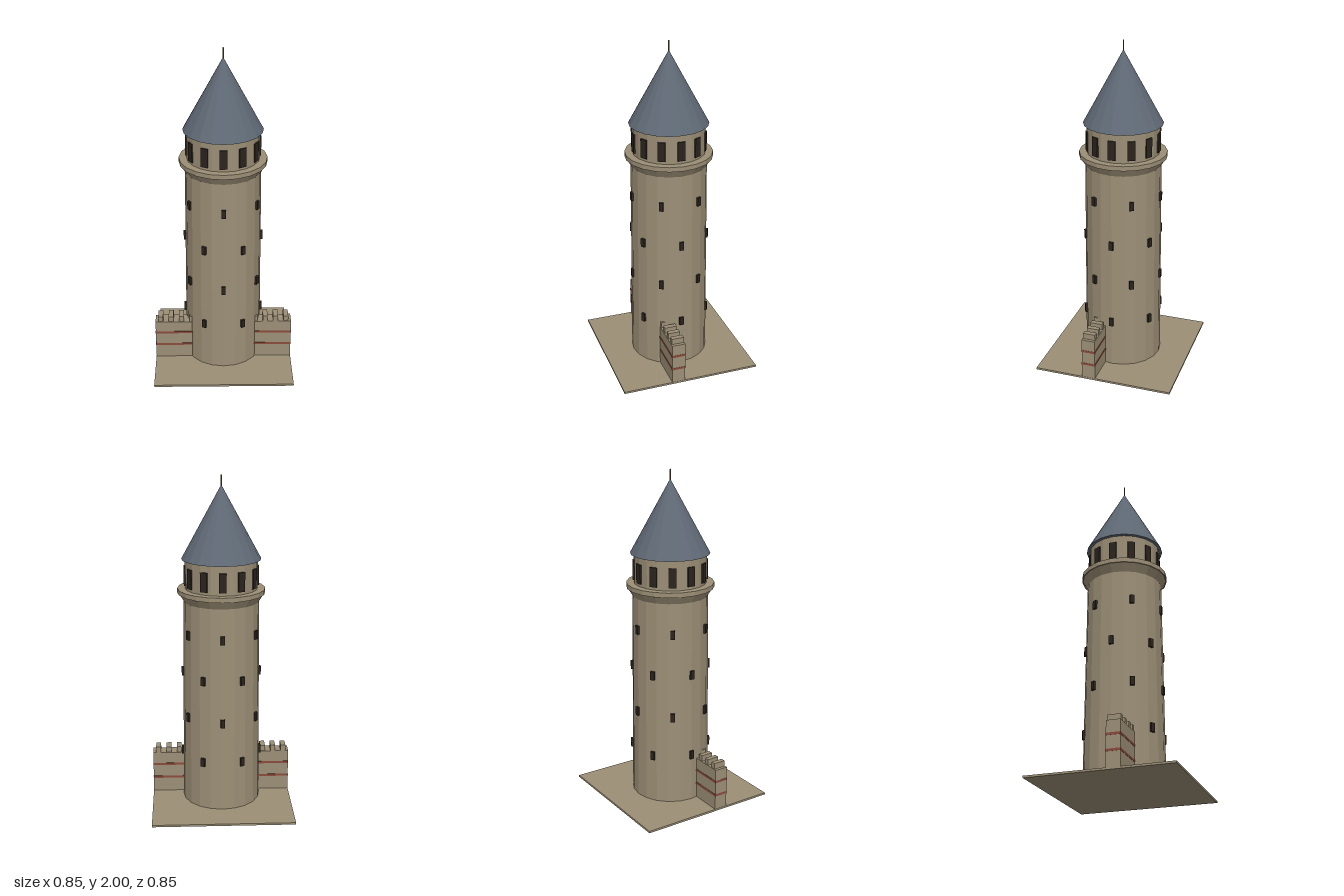
import * as THREE from 'three';

const SIDES = 20;

function material(color) {
  return new THREE.MeshStandardMaterial({ color, flatShading: true });
}

export function createModel() {
  const tower = new THREE.Group();
  tower.name = 'tower';

  const stone = material(0x9c8f76);
  const slate = material(0x5f6975);
  const dark = material(0x2a241e);
  const brick = material(0x8a4a3a);
  const brass = material(0x6e5c34);

  function add(name, geometry, mat, x = 0, y = 0, z = 0, parent = tower) {
    const mesh = new THREE.Mesh(geometry, mat);
    mesh.name = name;
    mesh.position.set(x, y, z);
    parent.add(mesh);
    return mesh;
  }

  // Round section standing between two heights
  function drum(name, rBottom, rTop, y0, y1, mat, sides = SIDES) {
    const geometry = new THREE.CylinderGeometry(rTop, rBottom, y1 - y0, sides);
    return add(name, geometry, mat, 0, (y0 + y1) / 2, 0);
  }

  // Ring of dark boxes facing outwards
  function windowRing(name, count, offset, radius, y, w, h, d) {
    const ring = new THREE.Group();
    ring.name = name;
    const geometry = new THREE.BoxGeometry(w, h, d);
    for (let i = 0; i < count; i++) {
      const a = offset + (i / count) * Math.PI * 2;
      const pane = add('window', geometry, dark, Math.sin(a) * radius, y, Math.cos(a) * radius, ring);
      pane.rotation.y = a;
    }
    tower.add(ring);
  }

  // Ground slab and main shaft
  add('groundSlab', new THREE.BoxGeometry(0.85, 0.012, 0.85), stone, 0, 0.006, 0);
  drum('shaft', 0.235, 0.225, 0.012, 1.27, stone);

  // Staggered rows of small windows, following the taper
  [0.31, 0.567, 0.823, 1.08].forEach((y, row) => {
    const radius = 0.235 - 0.01 * (y / 1.27);
    windowRing('windowRow', 6, row % 2 ? 0 : Math.PI / 6, radius, y, 0.025, 0.052, 0.022);
  });

  // Flared gallery, lantern storey, roof and finial
  drum('galleryFlare', 0.225, 0.254, 1.265, 1.312, stone);
  drum('galleryRim', 0.26, 0.26, 1.312, 1.34, stone);
  drum('lantern', 0.215, 0.215, 1.34, 1.515, stone);
  windowRing('lanternWindows', 12, 0, 0.21, 1.415, 0.044, 0.115, 0.022);
  add('roof', new THREE.ConeGeometry(0.235, 0.43, SIDES), slate, 0, 1.73, 0);
  drum('finial', 0.004, 0.004, 1.93, 2, brass, 8);

  // Battlemented wall stubs on both sides
  for (const side of [-1, 1]) {
    const wall = new THREE.Group();
    wall.name = side > 0 ? 'leftWall' : 'rightWall';
    tower.add(wall);
    const x = side * 0.2875, z = 0.0835;
    add('wall', new THREE.BoxGeometry(0.273, 0.26, 0.082), stone, x, 0.14, z, wall);
    for (const y of [0.105, 0.193]) {
      add('brickBand', new THREE.BoxGeometry(0.275, 0.014, 0.086), brick, x, y, z, wall);
    }
    for (let i = 0; i < 4; i++) {
      add('merlon', new THREE.BoxGeometry(0.03, 0.037, 0.074), stone,
        side * (0.391 - i * 0.0645), 0.2875, z, wall);
    }
  }

  return tower;
}
